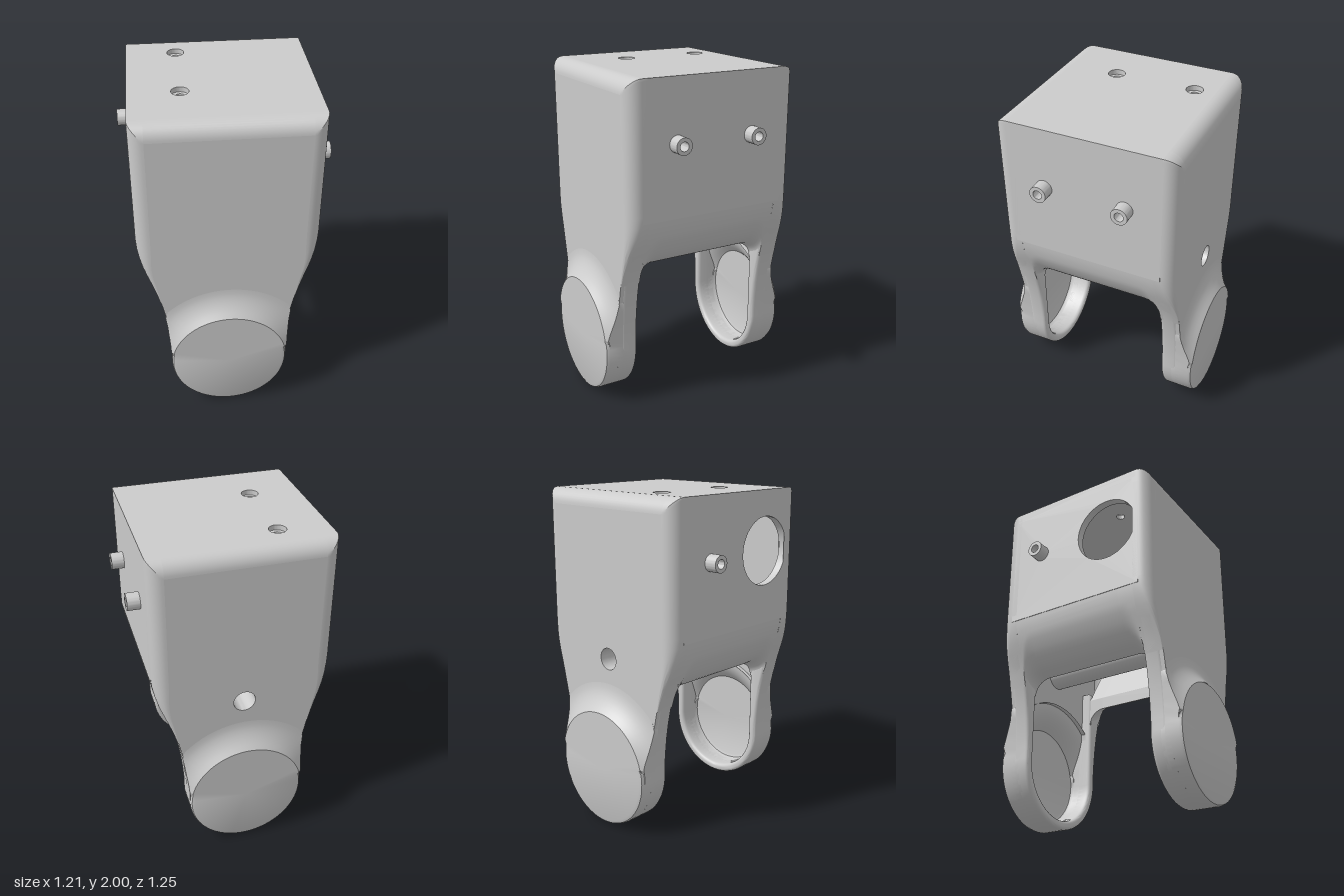
import * as THREE from 'three';
import { toCreasedNormals } from 'three/addons/utils/BufferGeometryUtils.js';

const material = new THREE.MeshStandardMaterial({ color: 0xcccccc, side: THREE.DoubleSide });
const R = 0.355, W = 0.53, D = 0.545, TOP = 2;

// piecewise linear lookup
function lookup(table, y) {
  for (let i = 1; i < table.length; i++) {
    const [y0, a] = table[i - 1], [y1, b] = table[i];
    if (y <= y1) return a + (b - a) * Math.max(0, (y - y0) / (y1 - y0));
  }
  return table[table.length - 1][1];
}
const widths = [[0.355, R], [0.42, 0.355], [0.5, 0.36], [0.6, 0.37], [0.7, 0.385], [0.8, 0.406], [0.87, 0.426],
  [0.94, 0.451], [1, 0.475], [1.06, 0.498], [1.12, 0.515], [1.18, 0.526], [1.24, W]];
const radii = [[0.8, 0.004], [0.9, 0.015], [1, 0.035], [1.1, 0.062], [1.2, 0.085]];
const halfWidth = (y) => (y < R ? Math.sqrt(Math.max(0, R * R - (y - R) ** 2)) : lookup(widths, y));
const cornerRadius = (y) => lookup(radii, y);
const pocketWidth = (y) => (y < R ? Math.sqrt(Math.max(0, 0.09 - (y - R) ** 2)) : 0.3);

function mesh(name, geometry, crease = 0.5) {
  const m = new THREE.Mesh(toCreasedNormals(geometry, crease), material);
  m.name = name;
  return m;
}

// surface through rows of [x, y, z] points
function grid(rows) {
  const n = rows[0].length, index = [];
  for (let i = 0; i < rows.length - 1; i++)
    for (let j = 0; j < n - 1; j++) {
      const a = i * n + j;
      index.push(a, a + 1, a + n, a + 1, a + n + 1, a + n);
    }
  const g = new THREE.BufferGeometry();
  g.setAttribute('position', new THREE.Float32BufferAttribute(rows.flat(2), 3));
  g.setIndex(index);
  g.computeVertexNormals();
  return g;
}

const polygon = (pts) => new THREE.Shape(pts.map(([x, y]) => new THREE.Vector2(x, y)));
const rect = (a, b, c, d) => polygon([[a, b], [c, b], [c, d], [a, d]]);
const circle = (x, y, r) => new THREE.Path().absarc(x, y, r, 0, Math.PI * 2, true);
const slab = (shape, depth) => new THREE.ExtrudeGeometry(shape, { depth, bevelEnabled: false, curveSegments: 24 });

// right half of an arm edge: quarter circle, then straight up the listed heights
function halfEdge(radius, ys, fn) {
  const pts = [];
  for (let i = 0; i <= 16; i++) {
    const a = -Math.PI / 2 + (i / 16) * (Math.PI / 2);
    pts.push([radius * Math.cos(a), R + radius * Math.sin(a)]);
  }
  ys.forEach((y) => pts.push([fn(y), y]));
  return pts;
}
const mirrored = (half) => [...half, ...half.slice(1).reverse().map(([x, y]) => [-x, y])];

// distance from the pivot along a ray until it leaves the outline
function reach(angle, r0, max, fn) {
  let d = r0;
  if (Math.sin(angle) < 0.01) return d;
  while (d < max && Math.abs(Math.cos(angle)) * d <= fn(R + Math.sin(angle) * d)) d += 0.002;
  return Math.min(d, max);
}
const RAYS = 72;

// round pad with a concave flare trimmed by the arm outline
function pad(r0, max, fn, zBase, zTop) {
  const rows = [];
  for (let i = 0; i <= RAYS; i++) {
    const a = (i / RAYS) * Math.PI * 2, end = reach(a, r0, max, fn);
    const round = end - r0 < 0.01 ? 0.025 : 0;
    const profile = [[0, zTop], [r0 - 0.025, zTop], [r0 - 0.007, zTop - round * 0.3], [r0, zTop - round]];
    for (let s = 1; s <= 6; s++) {
      const d = r0 + ((end - r0) * s) / 6, t = (d - r0) / (max - r0);
      profile.push([d, Math.min(zTop - round, zBase + (zTop - zBase) * (1 - t) ** 2)]);
    }
    profile.push([end, zBase - 0.03]);
    rows.push(profile.map(([d, z]) => [Math.cos(a) * d, R + Math.sin(a) * d, z]));
  }
  return grid(rows);
}

// one face of the body together with its arm, facing +z
function face(name, hasHole) {
  const g = new THREE.Group();
  g.name = name;
  const ys = widths.slice(1).map((p) => p[0]);

  // flat plate with a dished opening behind the pad
  const plate = polygon(mirrored(halfEdge(R, [...ys, 1.91], (y) => halfWidth(y) - cornerRadius(y))));
  const dish = [];
  for (let i = 0; i < RAYS; i++) {
    const a = (i / RAYS) * Math.PI * 2, d = reach(a, 0.3, 0.46, pocketWidth);
    dish.push(new THREE.Vector2(Math.cos(a) * d, R + Math.sin(a) * d));
  }
  plate.holes.push(new THREE.Path(dish));
  if (hasHole) plate.holes.push(circle(0, 1.03, 0.066));
  g.add(mesh('facePlate', slab(plate, 0.055).translate(0, 0, 0.49)));

  // rounded U-shaped rim around the arm pocket
  const outer = mirrored(halfEdge(R, ys.filter((y) => y <= 1), halfWidth));
  const half = halfEdge(0.3, [1], () => 0.3);
  const right = outer.slice(0, outer.length / 2 + 1);
  const inner = [...half.slice().reverse(), ...half.slice(1).map(([x, y]) => [-x, y])];
  const left = right.slice(1).map(([x, y]) => [-x, y]).reverse();
  const rim = polygon([...right, ...inner, ...left]);
  const rimGeometry = new THREE.ExtrudeGeometry(rim, {
    depth: 0.06, bevelThickness: 0.025, bevelSize: 0.02, bevelOffset: -0.02, bevelSegments: 4,
  });
  g.add(mesh('armRim', rimGeometry.translate(0, 0, 0.445), 0.7));

  g.add(mesh('pivotPad', pad(R, 0.52, halfWidth, D, 0.625)));
  g.add(mesh('padInside', pad(0.3, 0.46, pocketWidth, 0.49, 0.575)));

  // rounded upper edge
  const fillet = [];
  for (let i = 0; i <= 10; i++) {
    const a = (i / 10) * (Math.PI / 2), y = 1.91 + 0.09 * Math.sin(a), z = 0.455 + 0.09 * Math.cos(a);
    fillet.push([[-0.445, y, z], [0.445, y, z]]);
  }
  g.add(mesh('topEdge', grid(fillet)));

  // rounded upright corners, fading out down the arm
  const heights = [0.8, 0.87, 0.94, 1, 1.06, 1.12, 1.18, 1.24];
  for (let i = 0; i <= 10; i++) heights.push(1.91 + 0.09 * Math.sin((i / 10) * (Math.PI / 2)));
  for (const side of [-1, 1]) {
    const rows = heights.map((y) => {
      const r = cornerRadius(y), w = halfWidth(y);
      const limit = y > 1.91 ? 0.455 + Math.sqrt(Math.max(0, 0.0081 - (y - 1.91) ** 2)) : D;
      const row = [[side * w, y, 0.425]];
      for (let j = 0; j <= 10; j++) {
        const a = (j / 10) * (Math.PI / 2);
        row.push([side * (w - r + r * Math.cos(a)), y, Math.min(limit, D - r + r * Math.sin(a))]);
      }
      return row;
    });
    g.add(mesh('uprightCorner', grid(rows)));
  }
  return g;
}

// curved underside lip with fillets into both arms
function underside(side) {
  const curve = new THREE.SplineCurve([[W, 1.24], [0.519, 1.13], [0.49, 1.05], [0.44, 0.965], [0.38, 0.905], [0.3, 0.87]]
    .map(([x, y]) => new THREE.Vector2(x, y)));
  const pts = curve.getPoints(16).map((p) => [p.x, p.y, Math.min(1, (1.24 - p.y) / 0.3)]);
  pts.push([0.3, 0.95, 0], [0.48, 1.25, 0]);
  const section = [];
  for (let i = 0; i <= 8; i++) {
    const a = (i / 8) * (Math.PI / 2);
    section.push([0.32 + 0.105 * Math.sin(a), 0.1 * (1 - Math.cos(a))]);
  }
  const across = [...section.slice().reverse().map(([z, d]) => [-z, d]), ...section];
  return grid(pts.map(([x, y, k]) => across.map(([z, drop]) => {
    const yy = y - drop * k;
    return [side * Math.min(x, halfWidth(yy)), yy, z];
  })));
}

export function createModel() {
  const model = new THREE.Group();
  model.name = 'forkBracket';

  const front = face('frontFace', false);
  const back = face('backFace', true);
  back.rotation.y = Math.PI;
  model.add(front, back);

  // top plate with counterbored screw holes
  for (const [y, r] of [[1.97, 0.05], [1.94, 0.027]]) {
    const shape = rect(-W, -0.455, W, 0.455);
    for (const z of [-0.33, 0.16]) shape.holes.push(circle(-0.235, -z, r));
    model.add(mesh('topPlate', slab(shape, 0.03).rotateX(-Math.PI / 2).translate(0, y, 0)));
  }

  // side walls, hollow screw bosses and underside lips
  for (const side of [-1, 1]) {
    const wall = rect(-0.46, 1.2, 0.46, 1.955);
    wall.holes.push(circle(0.245, 1.63, 0.027));
    wall.holes.push(side > 0 ? circle(-0.245, 1.63, 0.027) : circle(-0.24, 1.64, 0.205));
    model.add(mesh('sideWall', slab(wall, 0.05).rotateY(Math.PI / 2).translate(side * 0.505 - 0.025, 0, 0)));
    model.add(mesh('undersideLip', underside(side)));
    for (const z of side > 0 ? [-0.245, 0.245] : [-0.245]) {
      const ring = new THREE.Shape().absarc(-z, 1.63, 0.05, 0, Math.PI * 2);
      ring.holes.push(circle(-z, 1.63, 0.027));
      model.add(mesh('screwBoss', slab(ring, 0.12).rotateY(Math.PI / 2).translate(side * 0.545 - 0.06, 0, 0)));
    }
    // upper wall strip closing the side below the top edge
    const strip = new THREE.BoxGeometry(0.05, 0.06, 0.91);
    model.add(mesh('wallCap', strip.translate(side * 0.505, 1.97, 0)));
  }

  // cable tube running from the back hole to the front plate
  const tube = new THREE.Shape().absarc(0, 1.03, 0.085, 0, Math.PI * 2);
  tube.holes.push(circle(0, 1.03, 0.066));
  model.add(mesh('cableTube', slab(tube, 1.03).translate(0, 0, -0.53)));
  return model;
}
